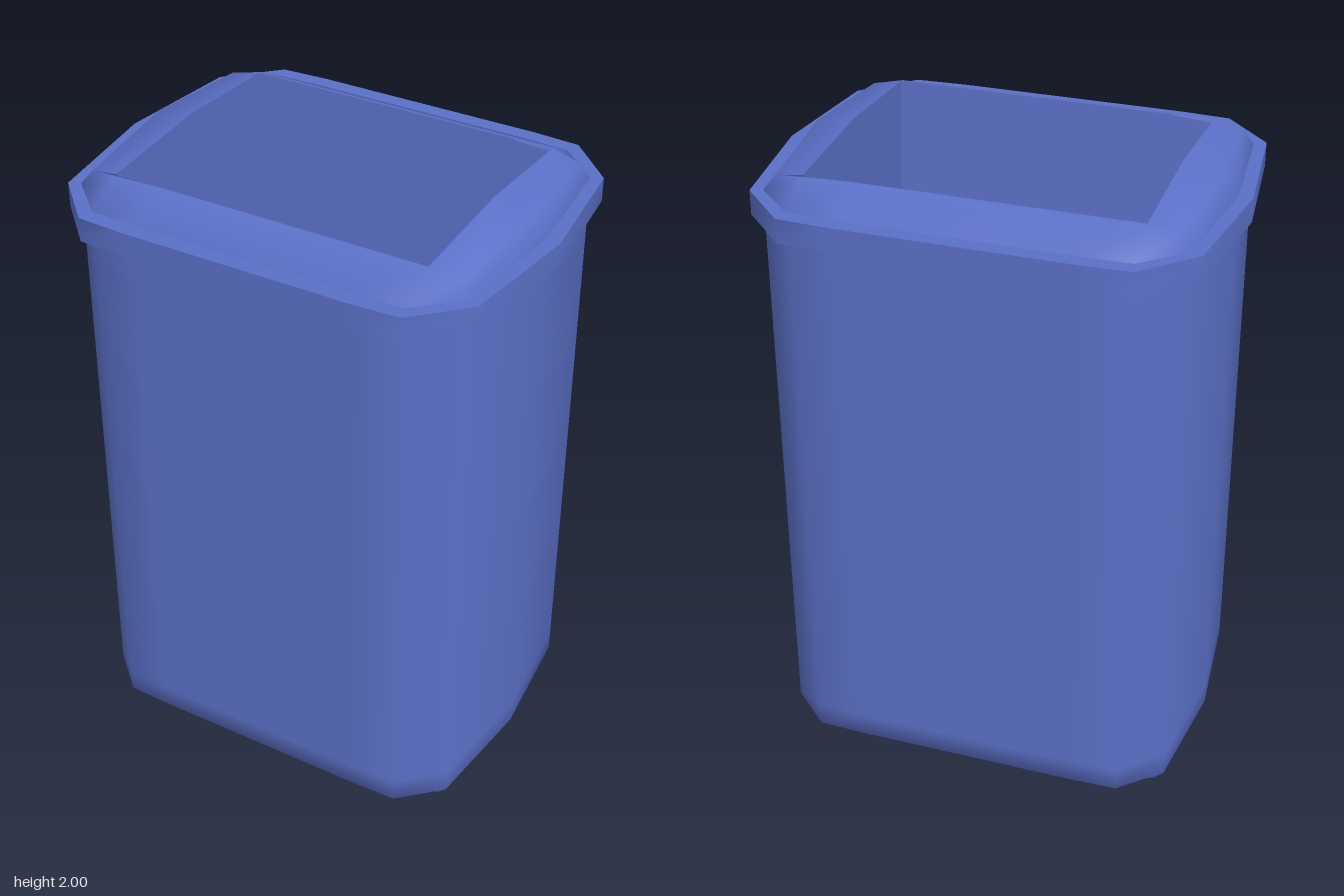
import * as THREE from 'three';
import { toCreasedNormals } from 'three/addons/utils/BufferGeometryUtils.js';

// Mirrors a quarter outline (from +x round to +z) into a full closed loop
function fullLoop(q) {
  const half = [...q, ...q.slice(0, -1).reverse().map(([x, y, z]) => [-x, y, z])];
  return [...half, ...half.slice(1, -1).reverse().map(([x, y, z]) => [x, y, -z])];
}

// Skins a stack of quarter outlines, ordered from the underside up and over
function loft(name, rings, material, crease) {
  const loops = rings.map(fullLoop);
  const n = loops[0].length;
  const index = [];
  for (let i = 0; i < loops.length - 1; i++) {
    for (let j = 0; j < n; j++) {
      const a = i * n + j, b = i * n + (j + 1) % n;
      index.push(a, a + n, b, b, a + n, b + n);
    }
  }
  const g = new THREE.BufferGeometry();
  g.setAttribute('position', new THREE.Float32BufferAttribute(loops.flat(2), 3));
  g.setIndex(index);
  const mesh = new THREE.Mesh(toCreasedNormals(g, crease), material);
  mesh.name = name;
  return mesh;
}

const wall = [[0.665, 0], [0.625, 0.385], [0.5, 0.503], [0.36, 0.508], [0, 0.508]];
const lip = [[0.708, 0], [0.66, 0.4], [0.512, 0.55], [0.36, 0.558], [0, 0.558]];
const atHeight = (outline, y) => outline.map(([x, z]) => [x, y, z]);
const flipY = (ring) => ring.map(([x, y, z]) => [x, 2 - y, z]);

// Rectangle whose end sides peak at z = 0
const panel = (z, yEdge, yRidge) =>
  [[0.5, yRidge, 0], [0.5, yEdge, z], [0.36, yEdge, z], [0.18, yEdge, z], [0, yEdge, z]];
const ridge = (y) => [[0.5, y, 0], [0.5, y, 0], [0.36, y, 0], [0.18, y, 0], [0, y, 0]];

export function createModel() {
  const group = new THREE.Group();
  group.name = 'bin';
  const material = new THREE.MeshStandardMaterial({ color: 0x5b70c8, side: THREE.DoubleSide });

  // Bevelled shell: slightly peaked base, straight walls, matching shoulder
  const bevel = [[0.622, 0.025, 0], [0.59, 0.04, 0.37], [0.5, 0.026, 0.39], [0.36, 0.025, 0.39], [0, 0.025, 0.39]];
  const base = [panel(0.38, 0.024, 0), bevel, atHeight(wall, 0.085), atHeight(wall, 0.16)];
  const shoulder = base.map(flipY).reverse();
  group.add(loft('body', [ridge(0), ...base, ...shoulder], material, 1.3));

  // Inner cavity narrowing front to back towards the floor
  group.add(loft('cavity', [panel(0.38, 1.976, 2), panel(0.25, 0.09, 0.105), ridge(0.105)], material, 0.6));

  // Flat band around the top of the walls
  group.add(loft('rim', [atHeight(wall, 1.84), atHeight(lip, 1.84), atHeight(lip, 1.915), atHeight(wall, 1.915)], material, 0.9));

  return group;
}
